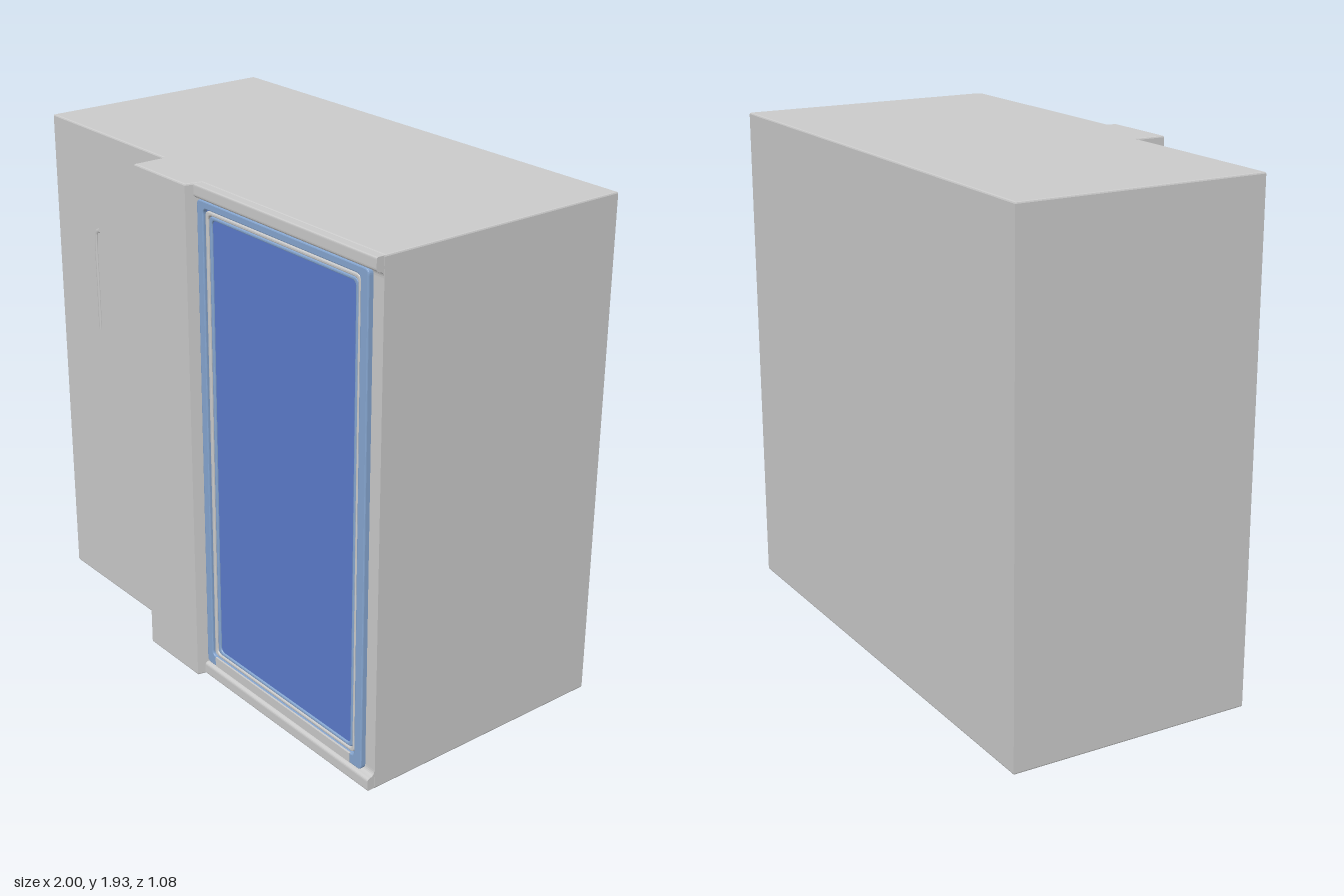
import * as THREE from 'three';

const mat = (name, color) => Object.assign(new THREE.MeshStandardMaterial({ color }), { name });

// Rounded rectangle outline, for a Shape or a hole
function roundedRect(path, x0, y0, x1, y1, r) {
  path.moveTo(x0 + r, y0);
  path.lineTo(x1 - r, y0);
  path.quadraticCurveTo(x1, y0, x1, y0 + r);
  path.lineTo(x1, y1 - r);
  path.quadraticCurveTo(x1, y1, x1 - r, y1);
  path.lineTo(x0 + r, y1);
  path.quadraticCurveTo(x0, y1, x0, y1 - r);
  path.lineTo(x0, y0 + r);
  path.quadraticCurveTo(x0, y0, x0 + r, y0);
  return path;
}

// Extrude a front-facing shape between two depths with a small bevel
function slab(shape, z0, z1, bevel) {
  return new THREE.ExtrudeGeometry(shape, {
    depth: z1 - z0 - 2 * bevel, bevelEnabled: bevel > 0, bevelSize: bevel,
    bevelThickness: bevel, bevelOffset: -bevel, bevelSegments: 2, curveSegments: 6,
  }).translate(0, 0, z0 + bevel);
}

export function createModel() {
  const group = new THREE.Group();
  const grey = mat('cabinet grey', 0xcacaca);
  const blue = mat('pane blue', 0x5c7bcb);
  const pale = mat('frame pale blue', 0x86a6d0);
  const add = (name, geometry, material) => {
    const mesh = new THREE.Mesh(geometry, material);
    mesh.name = name;
    group.add(mesh);
    return mesh;
  };

  // Stepped cabinet, extruded upward from its plan
  const plan = new THREE.Shape([
    [-1, -0.41], [-0.268, -0.41], [-0.26, -0.42], [-0.26, -0.535], [0.045, -0.535],
    [0.05, -0.515], [0.06, -0.475], [1, -0.475], [1, 0.54], [-1, 0.54],
  ].map(([x, y]) => new THREE.Vector2(x, y)));
  add('cabinet', slab(plan, 0, 1.925, 0.006).rotateX(-Math.PI / 2), grey);

  // Lips above and below the window, curving back to the face
  for (const top of [true, false]) {
    const y = (v) => (top ? 1.925 - v : v);
    const lip = new THREE.Shape();
    lip.moveTo(-0.45, y(0.002));
    lip.lineTo(-0.5, y(0.002));
    lip.quadraticCurveTo(-0.505, y(0.002), -0.505, y(0.01));
    lip.lineTo(-0.505, y(0.038));
    lip.quadraticCurveTo(-0.505, y(0.05), -0.49, y(0.052));
    lip.quadraticCurveTo(-0.475, y(0.055), -0.475, y(0.075));
    lip.lineTo(-0.45, y(0.075));
    const geometry = new THREE.ExtrudeGeometry(lip, { depth: 0.952, bevelEnabled: false, curveSegments: 5 });
    add(top ? 'topLip' : 'bottomLip', geometry.rotateY(Math.PI / 2).translate(0.046, 0, 0), grey);
  }

  // Nested window frames around the pane: outer, inner, depth
  const ring = (name, o, i, z1, material) => {
    const shape = roundedRect(new THREE.Shape(), ...o);
    shape.holes.push(roundedRect(new THREE.Path(), ...i));
    add(name, slab(shape, 0.47, z1, 0.004), material);
  };
  ring('outerFrame', [0.055, 0.055, 0.95, 1.87, 0.02], [0.09, 0.095, 0.912, 1.843, 0.02], 0.495, pale);
  ring('gasket', [0.096, 0.1, 0.906, 1.838, 0.02], [0.112, 0.112, 0.896, 1.825, 0.02], 0.49, grey);
  ring('innerFrame', [0.115, 0.114, 0.894, 1.823, 0.02], [0.13, 0.126, 0.882, 1.811, 0.02], 0.488, pale);

  // Blue backing seen in the grooves, and the pane itself
  add('grooveBacking', slab(roundedRect(new THREE.Shape(), 0.07, 0.07, 0.93, 1.86, 0.01), 0.47, 0.478, 0), blue);
  add('pane', slab(roundedRect(new THREE.Shape(), 0.13, 0.126, 0.882, 1.811, 0.02), 0.474, 0.482, 0), blue);

  // Grey bottom rail laid over the frame
  add('bottomRail', new THREE.BoxGeometry(0.78, 0.036, 0.008).translate(0.5, 0.077, 0.494), grey);

  // Shallow upright handle ridge on the left door
  const handle = new THREE.CatmullRomCurve3([
    [-0.735, 1.13], [-0.735, 1.3], [-0.735, 1.5], [-0.728, 1.53], [-0.71, 1.538],
  ].map(([x, y]) => new THREE.Vector3(x, y, 0)));
  const ridge = new THREE.TubeGeometry(handle, 24, 0.009, 8).scale(1, 1, 0.5).translate(0, 0, 0.41);
  add('handleRidge', ridge, grey);

  return group;
}
